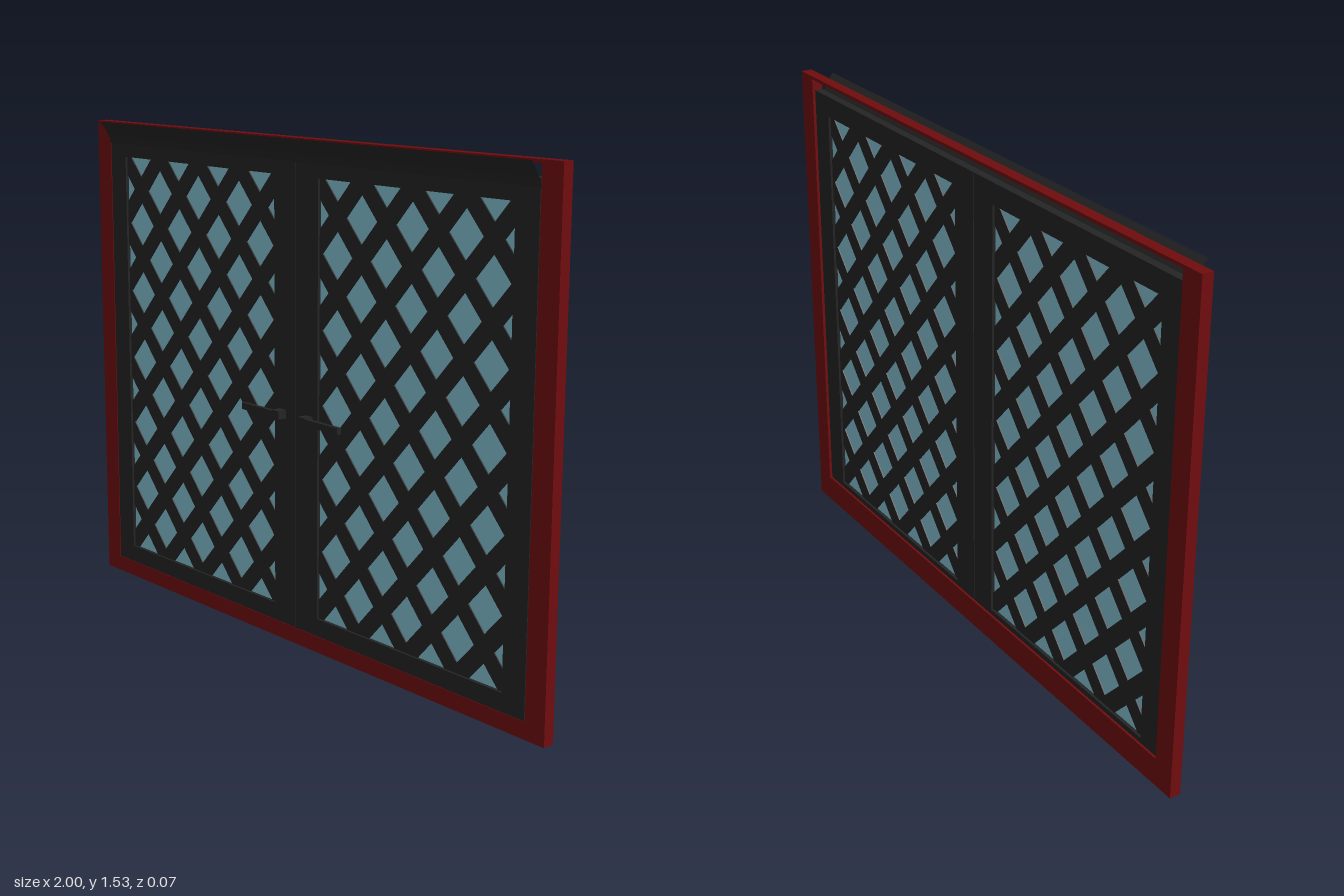
import * as THREE from 'three';

export function createModel() {
  const root = new THREE.Group();
  root.name = 'latticeDoubleDoor';

  const red = new THREE.MeshStandardMaterial({ name: 'darkRedFrame', color: 0x700c0e });
  const dark = new THREE.MeshStandardMaterial({ name: 'charcoal', color: 0x242424, side: THREE.DoubleSide });
  const glass = new THREE.MeshStandardMaterial({ name: 'paleBlueGlass', color: 0x84c3d5 });

  // Box given by its limits on each axis
  function box(name, material, x0, x1, y0, y1, z0, z1, parent = root) {
    const mesh = new THREE.Mesh(new THREE.BoxGeometry(x1 - x0, y1 - y0, z1 - z0), material);
    mesh.position.set((x0 + x1) / 2, (y0 + y1) / 2, (z0 + z1) / 2);
    mesh.name = name;
    parent.add(mesh);
    return mesh;
  }

  // Outer frame: posts, thin head rail and rebated sill
  const BACK = -0.037, FRONT = -0.002;
  box('leftPost', red, 0.93, 1, 0, 1.53, BACK, FRONT);
  box('rightPost', red, -1, -0.93, 0, 1.53, BACK, FRONT);
  box('headRail', red, -0.93, 0.93, 1.52, 1.53, BACK, FRONT);
  box('sill', red, -0.93, 0.93, 0, 0.05, BACK, FRONT);
  box('sillBackstop', red, -0.93, 0.93, 0.05, 0.088, BACK, -0.03);

  // Door leaves
  const X0 = 0.097, X1 = 0.848, Y0 = 0.105, Y1 = 1.42; // glazed opening
  const PITCH_X = 0.1, PITCH_Y = 0.11125, ROW0 = 0.095, BAR = 0.055;

  function rectangle(PathType, x0, x1, y0, y1) {
    const p = new PathType();
    p.moveTo(x0, y0);
    p.lineTo(x1, y0);
    p.lineTo(x1, y1);
    p.lineTo(x0, y1);
    p.closePath();
    return p;
  }

  function door(name, side) {
    const leaf = new THREE.Group();
    leaf.name = name;
    leaf.position.x = -0.004;
    const span = (a, b) => (side > 0 ? [a, b] : [-b, -a]);

    // Stiles and rails
    const shape = rectangle(THREE.Shape, ...span(0.002, 0.93), 0.05, 1.485);
    shape.holes.push(rectangle(THREE.Path, ...span(X0, X1), Y0, Y1));
    const frame = new THREE.Mesh(
      new THREE.ExtrudeGeometry(shape, { depth: 0.026, bevelEnabled: false }), dark);
    frame.position.z = -0.03;
    frame.name = 'doorFrame';
    leaf.add(frame);

    // Glass pane
    box('glassPane', glass, ...span(X0 - 0.01, X1 + 0.01), Y0 - 0.01, Y1 + 0.01, -0.019, -0.015, leaf);

    // Crossed diagonal bars, clipped so their ends hide in the frame
    const centre = side * (X0 + X1) / 2;
    const U = ((X1 - X0) / 2 + 0.02) / PITCH_X;
    const vMin = (Y0 - 0.02 - ROW0) / PITCH_Y, vMax = (Y1 + 0.02 - ROW0) / PITCH_Y;
    for (const slope of [1, -1]) {
      for (let k = -4; k <= 16; k += 2) {
        const a = Math.max(vMin, k - U), b = Math.min(vMax, k + U);
        if (b - a < 0.1) continue;
        const mid = (a + b) / 2;
        const length = (b - a) * Math.hypot(PITCH_X, PITCH_Y);
        const bar = new THREE.Mesh(new THREE.BoxGeometry(length, BAR, 0.012), dark);
        bar.position.set(centre + slope * (mid - k) * PITCH_X, ROW0 + mid * PITCH_Y, -0.017);
        bar.rotation.z = slope * Math.atan2(PITCH_Y, PITCH_X);
        bar.name = 'latticeBar';
        leaf.add(bar);
      }
    }

    // Lever handle
    box('handleStem', dark, ...span(0.045, 0.075), 0.697, 0.723, -0.005, 0.026, leaf);
    box('handleLever', dark, ...span(0.07, 0.217), 0.7, 0.72, 0.012, 0.026, leaf);
    root.add(leaf);
  }
  door('leftDoor', 1);
  door('rightDoor', -1);

  // Cornice: a thin sheet sweeping forward towards its top
  const cove = new THREE.PlaneGeometry(1.86, 1, 1, 8);
  const p = cove.attributes.position;
  for (let i = 0; i < p.count; i++) {
    const t = p.getY(i) + 0.5;
    p.setY(i, 1.46 + 0.07 * t);
    p.setZ(i, -0.002 + 0.039 * Math.pow(t, 1.5));
  }
  cove.computeVertexNormals();
  const cornice = new THREE.Mesh(cove, dark);
  cornice.name = 'cornice';
  root.add(cornice);

  return root;
}
